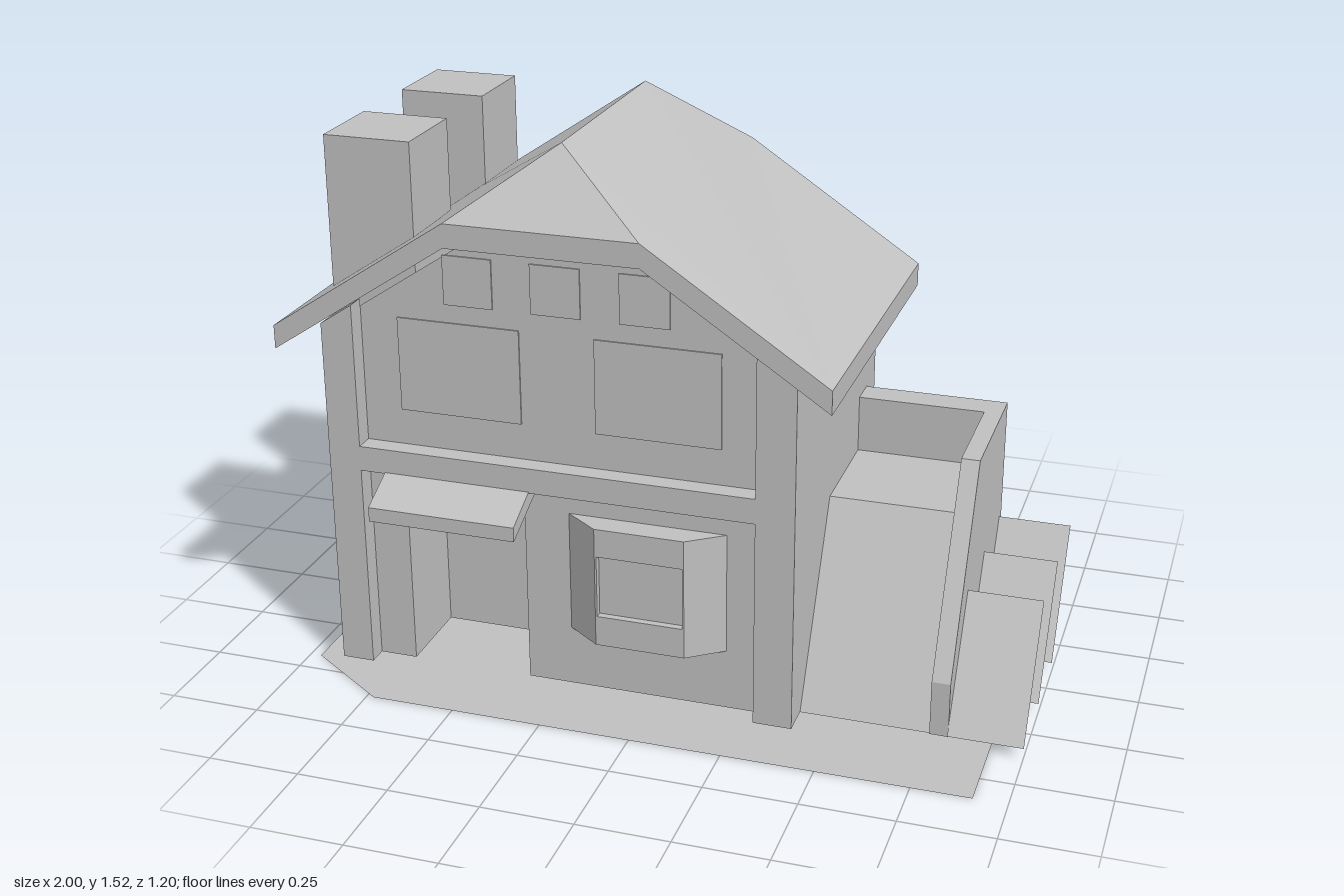
import * as THREE from 'three';

const grey = new THREE.MeshStandardMaterial({ color: 0xc0c0c0, side: THREE.DoubleSide });
grey.name = 'plain grey';

export function createModel() {
  const model = new THREE.Group();
  model.name = 'house';

  const add = (name, geometry, x = 0, y = 0, z = 0) => {
    const mesh = new THREE.Mesh(geometry, grey);
    mesh.name = name;
    mesh.position.set(x, y, z);
    model.add(mesh);
    return mesh;
  };
  // Flat-shaded surface made of convex polygons, each a list of [x, y, z] corners
  const faces = (name, polygons) => {
    const p = [];
    for (const poly of polygons)
      for (let i = 1; i < poly.length - 1; i++) p.push(...poly[0], ...poly[i], ...poly[i + 1]);
    const g = new THREE.BufferGeometry();
    g.setAttribute('position', new THREE.Float32BufferAttribute(p, 3));
    g.computeVertexNormals();
    return add(name, g);
  };
  // Box given by its limits
  const box = (name, x0, x1, y0, y1, z0, z1) =>
    add(name, new THREE.BoxGeometry(x1 - x0, y1 - y0, z1 - z0), (x0 + x1) / 2, (y0 + y1) / 2, (z0 + z1) / 2);
  const outline = (pts) => new THREE.Shape(pts.map(([x, y]) => new THREE.Vector2(x, y)));
  const rect = (x0, x1, y0, y1) => [[x0, y0], [x1, y0], [x1, y1], [x0, y1]];
  const extrude = (shape, depth) => new THREE.ExtrudeGeometry(shape, { depth, bevelEnabled: false });

  // Ground plate with two cut corners
  faces('groundPlate', [[[-0.97, 0, 0.43], [-0.73, 0, 0.595], [0.91, 0, 0.595],
    [0.91, 0, -0.43], [0.56, 0, -0.6], [-0.97, 0, -0.6]]]);

  // Side walls and front posts; the back stays open
  const front = 0.445, recess = 0.39, back = -0.425, base = 0.02;
  for (const [side, xo, xi] of [['right', -0.89, -0.8], ['left', 0.4, 0.295]]) {
    faces(side + 'Wall', [[[xo, base, front], [xo, base, back], [xo, 1.01, back], [xo, 1.01, front]]]);
    add(side + 'Post', extrude(outline([[xo, base], [xi, base], [xi, 1.07], [xo, 1.01]]), front - recess), 0, 0, recess);
  }
  box('frontBeam', -0.8, 0.295, 0.6, 0.67, recess, front);

  // Recessed upper panel with its windows
  add('upperPanel', new THREE.ShapeGeometry(outline([[-0.8, 0.67], [0.295, 0.67], [0.295, 1.05],
    [-0.03, 1.27], [-0.47, 1.27], [-0.8, 1.05]])), 0, 0, recess);
  for (const x of [-0.56, -0.32, -0.08]) box('smallWindow', x, x + 0.135, 1.08, 1.215, recess, recess + 0.004);
  for (const x of [-0.695, -0.15]) box('largeWindow', x, x + 0.34, 0.77, 1.03, recess, recess + 0.004);

  // Recessed lower panel around the door opening
  const dl = -0.695, dr = -0.355, dt = 0.59, dz = 0.15;
  add('lowerPanel', new THREE.ShapeGeometry(outline([[-0.8, base], [dl, base], [dl, dt], [dr, dt],
    [dr, base], [0.295, base], [0.295, 0.6], [-0.8, 0.6]])), 0, 0, recess);
  // Porch reaching into the house
  faces('porch', [
    [[dl, base, recess], [dl, base, dz], [dl, dt, dz], [dl, dt, recess]],
    [[dr, base, dz], [dr, base, recess], [dr, dt, recess], [dr, dt, dz]],
    [[dl, base, dz], [dr, base, dz], [dr, dt, dz], [dl, dt, dz]],
    [[dl, dt, dz], [dr, dt, dz], [dr, dt, recess], [dl, dt, recess]],
  ]);

  // Sloping canopy over the door: profile in z, y, extruded along x
  const canopy = extrude(outline([[-recess, 0.585], [-0.555, 0.51], [-0.555, 0.55], [-recess, 0.63]]), 0.41);
  canopy.rotateY(Math.PI / 2);
  add('canopy', canopy, -0.73, 0, 0);

  // Bay with splayed cheeks and a set-in window
  const bz = 0.46, b0 = 0.19, b1 = 0.53;
  const plan = (y) => [[-0.23, y, recess], [-0.135, y, bz], [0.11, y, bz], [0.205, y, recess]];
  const low = plan(b0), high = plan(b1);
  faces('bayShell', [low.slice().reverse(), high,
    ...[0, 2].map((i) => [low[i], low[i + 1], high[i + 1], high[i]])]);
  const bayFront = outline(rect(-0.135, 0.11, b0, b1));
  bayFront.holes.push(outline(rect(-0.13, 0.105, 0.275, 0.45)));
  add('bayFrame', extrude(bayFront, 0.02), 0, 0, bz - 0.02);
  box('bayWindow', -0.13, 0.105, 0.275, 0.45, bz - 0.024, bz - 0.02);

  // Half-hipped roof slab: upper skin, lower skin and rim
  const ridge = -0.25, ez = 0.495, rz = 0.325, thick = 0.065;
  const slope = (s) => [[ridge + s * 0.75, 1.01, ez], [ridge + s * 0.26, 1.335, ez], [ridge, 1.52, rz],
    [ridge, 1.52, -rz], [ridge + s * 0.26, 1.335, -ez], [ridge + s * 0.75, 1.01, -ez]];
  const L = slope(1), R = slope(-1);
  const skin = [L.slice().reverse(), R, [R[1], L[1], L[2]], [L[4], R[4], R[3]]];
  // The upper skin winds outwards; the lower one is its reversed copy
  const drop = ([x, y, z]) => [x, y - thick, z];
  const rim = [R[0], L[0], L[5], R[5]].length && [R[5], R[0], R[1], L[1], L[0], L[5], L[4], R[4]];
  faces('roof', [
    ...skin.map((p) => p.slice().reverse()),
    ...skin.map((p) => p.map(drop)),
    ...rim.map((a, i) => {
      const b = rim[(i + 1) % rim.length];
      return [drop(a), drop(b), b, a];
    }),
  ]);

  // Two chimneys rising through the slope
  for (const z of [-0.38, 0.1]) box('chimney', -0.9, -0.66, 1.03, 1.49, z, z + 0.24);

  // Lean-to, open at the back: outer cheek, rim, inner cheek, sloping front and shelf
  const x0 = 0.4, x1 = 0.75, x2 = 0.8;
  const cheek = [[0.02, 0.36], [0.175, 0.36], [0.69, 0.085], [0.69, -0.325], [0.02, -0.325]];
  const at = (x, [y, z]) => [x, y, z];
  const strip = (a, b, xa, xb) => [at(xa, a), at(xb, a), at(xb, b), at(xa, b)];
  const foot = [0.02, 0.355], edge = [0.53, 0.08], corner = [0.53, -0.24], top = [0.69, -0.24];
  faces('leanTo', [
    cheek.map((p) => at(x2, p)),
    ...[0, 1, 2].map((i) => strip(cheek[i], cheek[i + 1], x1, x2)),
    strip(top, cheek[3], x0, x1),
    [foot, cheek[1], cheek[2], edge].map((p) => at(x1, p)),
    [edge, cheek[2], top, corner].map((p) => at(x1, p)),
    strip(foot, edge, x0, x1),
    strip(edge, corner, x0, x1),
    strip(corner, top, x0, x1),
  ]);

  // Three slanting boards beside the lean-to
  for (const z of [-0.295, -0.065, 0.17])
    faces('slantedBoard', [strip([0.03, z + 0.205], [0.355, z], x2, 1)]);

  return model;
}
